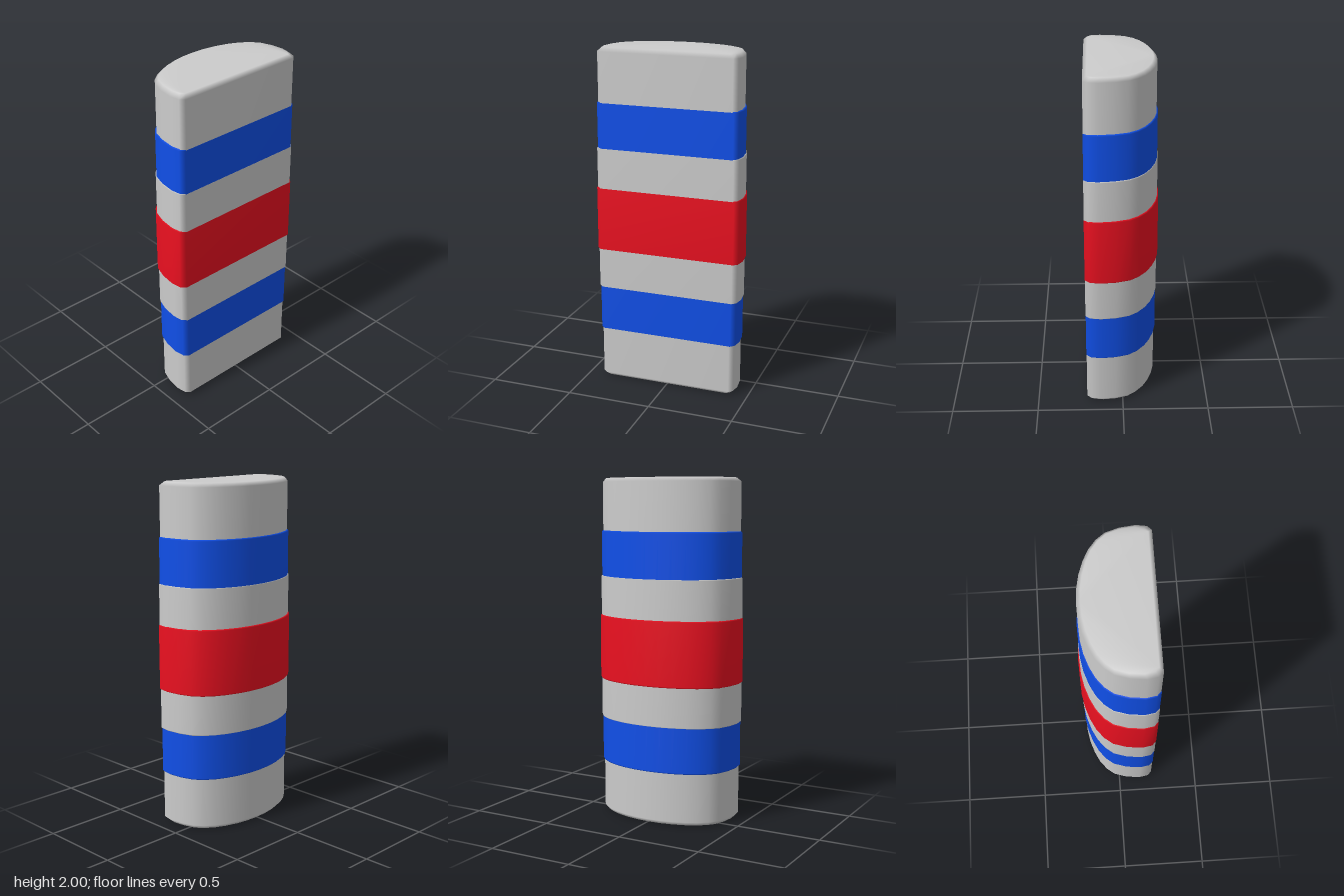
import * as THREE from 'three';

// Right half of the D-shaped outline [x, z], front corner to middle of the back
const HALF = [
  [0.405, 0.215], [0.43, 0.19], [0.44, 0.13], [0.43, 0.04], [0.405, -0.04], [0.365, -0.092],
  [0.31, -0.135], [0.245, -0.168], [0.165, -0.195], [0.085, -0.21], [0, -0.215],
];
const OUTLINE = [...HALF, ...HALF.slice(0, -1).reverse().map(([x, z]) => [-x, z])];

// Smooth-shaded D-shaped block with chamfered ends
function dBlock(name, color, y0, y1, halfWidth, front, back, bevel) {
  const n = OUTLINE.length, mid = HALF.length - 1;
  const levels = [[y0, bevel], [y0 + bevel, 0], [y1 - bevel, 0], [y1, bevel]];
  const pos = [], idx = [];
  for (const [y, inset] of levels) {
    const sx = (halfWidth - inset) / 0.44;
    const sz = (front - back - 2 * inset) / 0.43;
    for (const [x, z] of OUTLINE) pos.push(x * sx, y, (front + back) / 2 + z * sz);
  }
  // Walls
  for (let l = 0; l < levels.length - 1; l++) {
    for (let i = 0; i < n; i++) {
      const j = (i + 1) % n, a = l * n, b = a + n;
      idx.push(a + i, a + j, b + j, a + i, b + j, b + i);
    }
  }
  // Caps: a fan from each front corner and one triangle between them
  const tris = [[0, mid, n - 1]];
  for (let i = 1; i < mid; i++) tris.push([0, i, i + 1]);
  for (let i = mid; i < n - 2; i++) tris.push([n - 1, i, i + 1]);
  const top = (levels.length - 1) * n;
  for (const [a, b, c] of tris) idx.push(a, c, b, top + a, top + b, top + c);

  const geo = new THREE.BufferGeometry();
  geo.setAttribute('position', new THREE.Float32BufferAttribute(pos, 3));
  geo.setIndex(idx);
  geo.computeVertexNormals();
  const mesh = new THREE.Mesh(geo, new THREE.MeshStandardMaterial({ color }));
  mesh.name = name;
  return mesh;
}

export function createModel() {
  const group = new THREE.Group();
  group.name = 'bandedBlock';
  // Nested blocks: each shorter one is slightly wider, leaving coloured bands
  group.add(
    dBlock('body', 0xcccccc, 0, 2, 0.422, 0.2115, -0.198, 0.022),
    dBlock('blueBands', 0x104fe8, 0.307, 1.695, 0.43, 0.213, -0.205, 0.008),
    dBlock('innerSleeve', 0xcccccc, 0.575, 1.43, 0.435, 0.214, -0.208, 0.006),
    dBlock('redBand', 0xeb1020, 0.81, 1.195, 0.441, 0.215, -0.215, 0.008),
  );
  return group;
}
